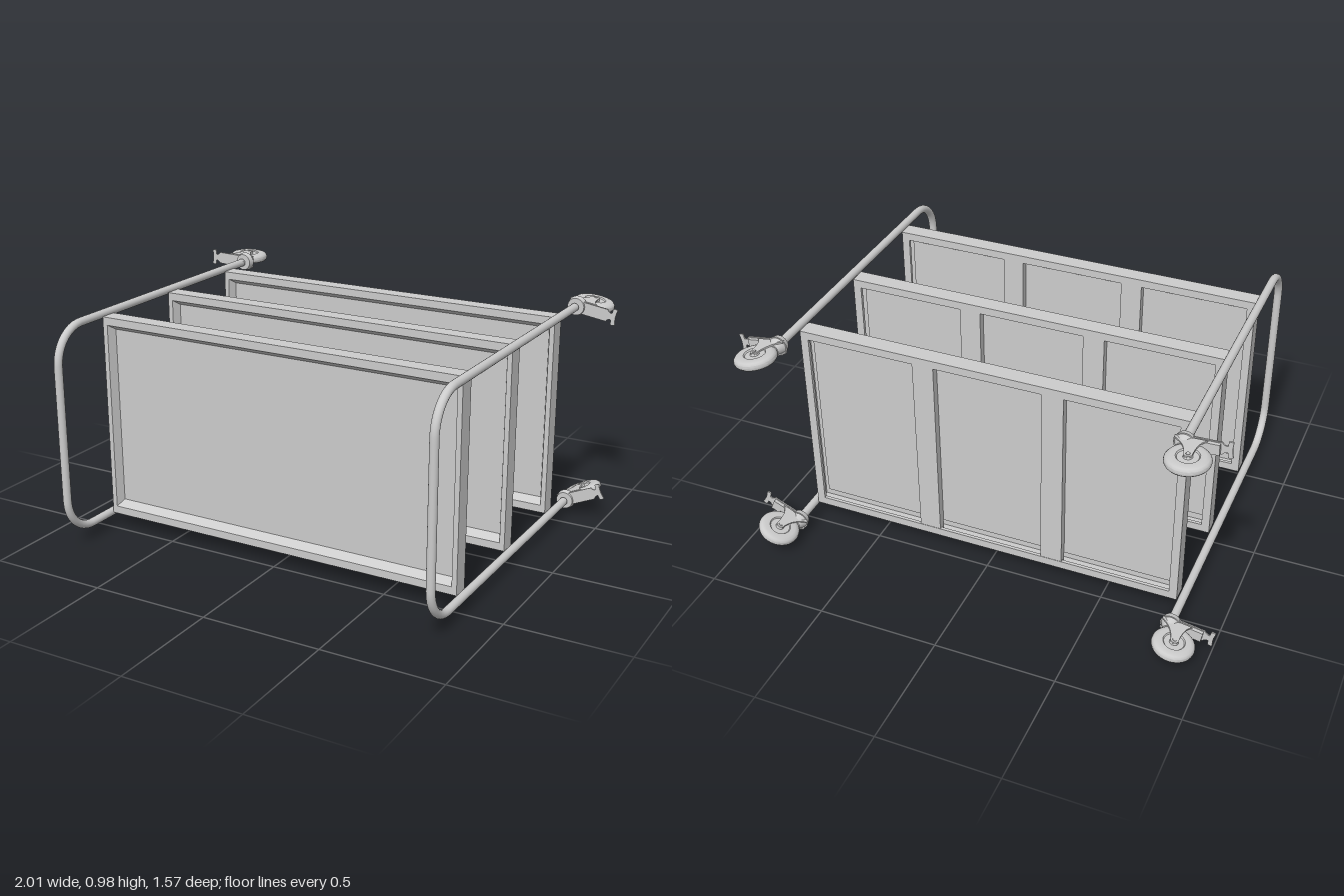
import * as THREE from 'three';
import { toCreasedNormals } from 'three/addons/utils/BufferGeometryUtils.js';

const smooth = new THREE.MeshStandardMaterial({ color: 0xcccccc });
const sheet = new THREE.MeshStandardMaterial({ color: 0xcccccc, side: THREE.DoubleSide, flatShading: true });

const TUBE_X = 0.825, TUBE_R = 0.0175, Y_LOW = 0.07, Y_HIGH = 0.945;
const TUBE_BACK = -0.57, TUBE_FRONT = 0.767, BEND = 0.15;

function add(parent, name, geometry, material = smooth) {
  const mesh = new THREE.Mesh(geometry, material);
  mesh.name = name;
  parent.add(mesh);
  return mesh;
}

// Cylinder lying along z between two depths
function zCylinder(r, z0, z1, r1 = r) {
  return new THREE.CylinderGeometry(r1, r, Math.abs(z1 - z0), 28).rotateX(Math.PI / 2).translate(0, 0, (z0 + z1) / 2);
}

// U-shaped side tube with rounded bends
function sideFrame(x) {
  const group = new THREE.Group();
  group.name = 'sideFrame';
  const v = (y, z) => new THREE.Vector3(x, y, z);
  const path = new THREE.CurvePath();
  const bend = (cy, cz, start) => {
    const pts = [];
    for (let i = 0; i <= 16; i++) {
      const a = start - (i / 16) * Math.PI / 2;
      pts.push(v(cy + BEND * Math.sin(a), cz + BEND * Math.cos(a)));
    }
    return new THREE.CatmullRomCurve3(pts);
  };
  const zc = TUBE_FRONT - BEND;
  path.add(new THREE.LineCurve3(v(Y_HIGH, TUBE_BACK), v(Y_HIGH, zc)));
  path.add(bend(Y_HIGH - BEND, zc, Math.PI / 2));
  path.add(new THREE.LineCurve3(v(Y_HIGH - BEND, TUBE_FRONT), v(Y_LOW + BEND, TUBE_FRONT)));
  path.add(bend(Y_LOW + BEND, zc, 0));
  path.add(new THREE.LineCurve3(v(Y_LOW, zc), v(Y_LOW, TUBE_BACK)));
  add(group, 'tube', new THREE.TubeGeometry(path, 140, TUBE_R, 20, false));
  for (const y of [Y_LOW, Y_HIGH]) {
    add(group, 'tubeEnd', zCylinder(TUBE_R, TUBE_BACK - 0.003, TUBE_BACK + 0.01)).position.set(x, y, 0);
  }
  return group;
}

// Folded sheet tray: rectangles with growing inset, joined from the back lip to the front panel
function trayGeometry(w, h, d) {
  const rings = [ // inset x, inset y, z
    [0.034, 0.034, -d + 0.014], [0.034, 0.034, -d], [0, 0, -d], [0, 0, d],
    [0.021, 0.033, d], [0.036, 0.056, d - 0.036],
  ];
  const corners = [[1, 1], [-1, 1], [-1, -1], [1, -1]];
  const pos = [], index = [];
  for (const [ix, iy, z] of rings) {
    for (const [sx, sy] of corners) pos.push(sx * (w - ix), sy * (h - iy), z);
  }
  for (let r = 0; r < rings.length - 1; r++) {
    for (let k = 0; k < 4; k++) {
      const a = r * 4 + k, b = r * 4 + (k + 1) % 4;
      index.push(a, b, b + 4, a, b + 4, a + 4);
    }
  }
  const p = (rings.length - 1) * 4;
  index.push(p, p + 1, p + 2, p, p + 2, p + 3);
  const g = new THREE.BufferGeometry();
  g.setAttribute('position', new THREE.Float32BufferAttribute(pos, 3));
  g.setIndex(index);
  const flat = g.toNonIndexed();
  flat.computeVertexNormals();
  return flat;
}

function shelf(z) {
  const group = new THREE.Group();
  group.name = 'shelf';
  const w = 0.806, h = 0.433, d = 0.036;
  add(group, 'tray', trayGeometry(w, h, d), sheet);
  // Stiffening bars across the back of the panel
  for (const x of [-0.27, 0.27]) {
    add(group, 'stiffener', new THREE.BoxGeometry(0.09, 2 * h - 0.02, 0.033)).position.set(x, 0, -d + 0.018);
  }
  group.position.set(0, 0.507, z);
  return group;
}

// Swivel caster: stem along z, trailing towards its own +x
function caster() {
  const group = new THREE.Group();
  group.name = 'caster';
  const wheelX = 0.042, wheelZ = -0.7;

  add(group, 'stem', zCylinder(0.011, -0.605, -0.565));
  add(group, 'swivelCollar', zCylinder(0.042, -0.607, -0.583, 0.036));
  add(group, 'swivelHousing', zCylinder(0.022, -0.64, -0.605, 0.038));

  // Brake pedal plate with a necked T-shaped end
  const pedal = new THREE.Shape();
  pedal.moveTo(-0.02, -0.026);
  pedal.lineTo(0.135, -0.026);
  pedal.quadraticCurveTo(0.143, -0.012, 0.156, -0.014);
  pedal.lineTo(0.158, -0.034);
  pedal.quadraticCurveTo(0.17, -0.037, 0.177, -0.032);
  pedal.quadraticCurveTo(0.169, 0, 0.177, 0.032);
  pedal.quadraticCurveTo(0.17, 0.037, 0.158, 0.034);
  pedal.lineTo(0.156, 0.014);
  pedal.quadraticCurveTo(0.143, 0.012, 0.135, 0.026);
  pedal.lineTo(-0.02, 0.026);
  const plate = new THREE.ExtrudeGeometry(pedal, { depth: 0.006, bevelEnabled: false, curveSegments: 6 });
  add(group, 'brakePedal', toCreasedNormals(plate.translate(0, 0, -0.596), 0.6));
  add(group, 'pedalBody', new THREE.BoxGeometry(0.09, 0.044, 0.016)).position.set(0.085, 0, -0.603);

  // Fork cheeks on both sides of the wheel
  const cheek = new THREE.Shape();
  cheek.moveTo(-0.036, -0.604);
  cheek.lineTo(0.085, -0.604);
  cheek.quadraticCurveTo(0.055, -0.625, 0.058, wheelZ);
  cheek.absarc(wheelX, wheelZ, 0.016, 0, -Math.PI, true);
  cheek.quadraticCurveTo(0.014, -0.645, -0.036, -0.615);
  for (const y of [-0.021, 0.027]) {
    const g = new THREE.ExtrudeGeometry(cheek, { depth: 0.006, bevelEnabled: false, curveSegments: 8 });
    add(group, 'forkCheek', toCreasedNormals(g.rotateX(Math.PI / 2).translate(0, y, 0), 0.6));
  }

  // Wheel with a rounded tyre and a recessed hub
  const profile = [
    [0, -0.02], [0.016, -0.02], [0.018, -0.014], [0.04, -0.014], [0.044, -0.019], [0.064, -0.02], [0.077, -0.016],
    [0.084, -0.008], [0.086, 0], [0.084, 0.008], [0.077, 0.016], [0.064, 0.02], [0.044, 0.019], [0.04, 0.014],
    [0.018, 0.014], [0.016, 0.02], [0, 0.02],
  ].map(([r, y]) => new THREE.Vector2(r, y));
  add(group, 'wheel', toCreasedNormals(new THREE.LatheGeometry(profile, 40), 0.6)).position.set(wheelX, 0, wheelZ);
  add(group, 'axle', new THREE.CylinderGeometry(0.008, 0.008, 0.06, 16)).position.set(wheelX, 0, wheelZ);
  return group;
}

export function createModel() {
  const model = new THREE.Group();
  model.name = 'shelfTrolley';
  for (const side of [-1, 1]) model.add(sideFrame(side * TUBE_X));
  for (const z of [0.462, 0.008, -0.434]) model.add(shelf(z));

  // Each caster is swivelled to its own angle
  const casters = [[1, Y_HIGH, -9], [1, Y_LOW, 24], [-1, Y_HIGH, 178], [-1, Y_LOW, 190]];
  for (const [side, y, degrees] of casters) {
    const c = caster();
    c.position.set(side * TUBE_X, y, 0);
    c.rotation.z = THREE.MathUtils.degToRad(degrees);
    model.add(c);
  }
  return model;
}
